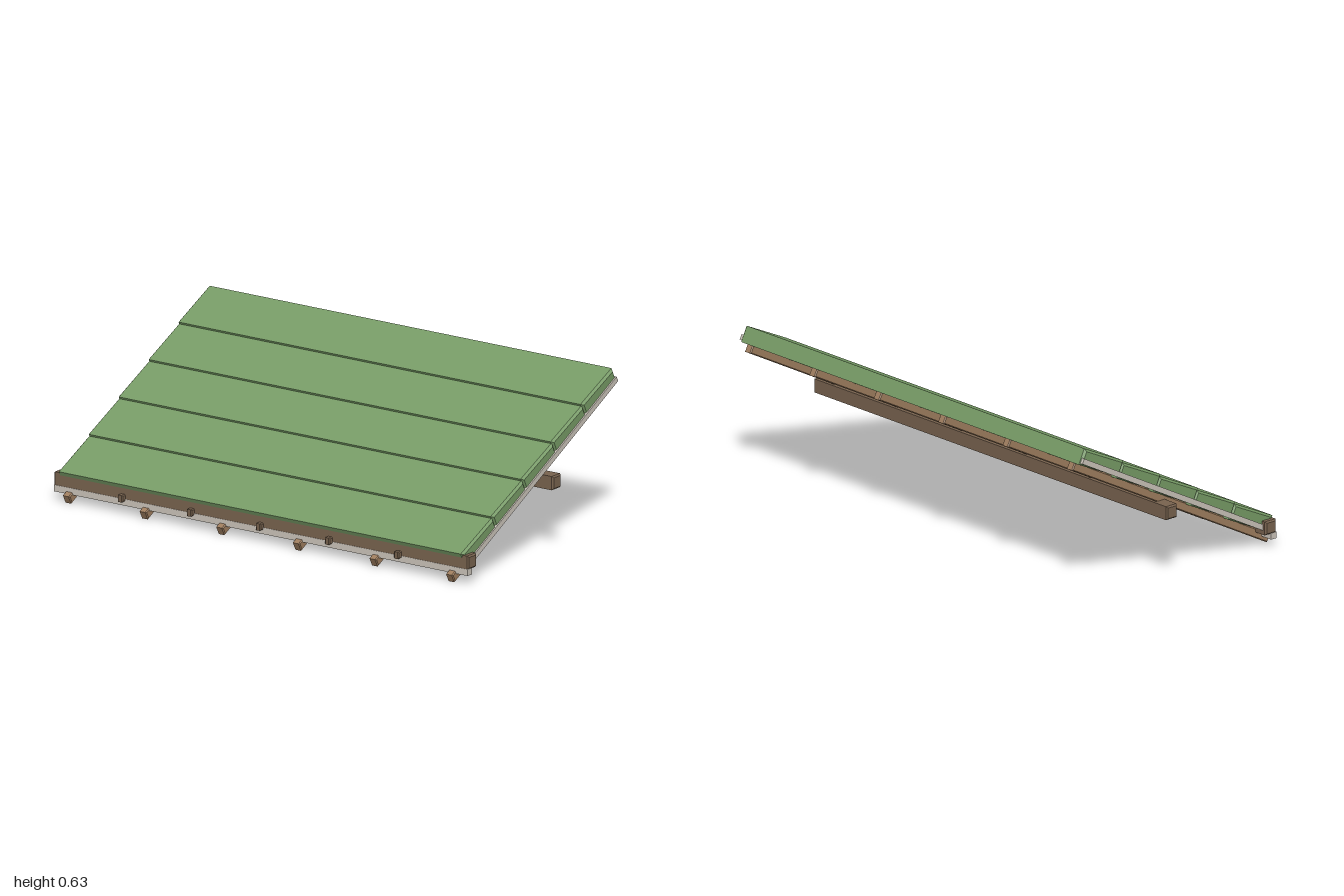
import * as THREE from 'three';

const material = (name, color) => {
  const m = new THREE.MeshStandardMaterial({ color });
  m.name = name;
  return m;
};

// Box centred on the origin with small flat chamfers on all edges
function chamferBox(w, h, d, c) {
  const x = w / 2 - c, y = h / 2 - c;
  const shape = new THREE.Shape([
    new THREE.Vector2(-x, -y), new THREE.Vector2(x, -y),
    new THREE.Vector2(x, y), new THREE.Vector2(-x, y),
  ]);
  const g = new THREE.ExtrudeGeometry(shape, {
    depth: d - 2 * c, bevelEnabled: true, bevelThickness: c, bevelSize: c, bevelSegments: 1,
  });
  return g.translate(0, 0, -d / 2 + c);
}

export function createModel() {
  const turf = material('turf green', 0x769a65);
  const tan = material('tan wood', 0x9e7d5e);
  const brown = material('brown wood', 0x77624e);
  const bark = material('pale bark', 0xc9c2b8);

  const model = new THREE.Group();
  model.name = 'turfRoofPanel';
  const slope = new THREE.Group();
  slope.name = 'slopedRoof';
  slope.rotation.z = Math.atan2(0.468, 0.884);
  model.add(slope);

  const add = (parent, name, geometry, mat, x, y, z, tilt = 0) => {
    const mesh = new THREE.Mesh(geometry, mat);
    mesh.name = name;
    mesh.position.set(x, y, z);
    mesh.rotation.z = tilt;
    parent.add(mesh);
    return mesh;
  };

  // Five turf courses, each dipping slightly at its upper end
  const step = 0.221;
  const slab = chamferBox(step + 0.004, 0.066, 1.926, 0.009);
  for (let i = 0; i < 5; i++) {
    add(slope, 'turfCourse' + (i + 1), slab, turf, -0.391 + step * (i + 0.5), 0.3035, 0, -0.04);
  }

  // Bark edging along both gable ends
  const edging = new THREE.BoxGeometry(1.095, 0.022, 0.02);
  for (const s of [1, -1]) {
    add(slope, s > 0 ? 'frontBarkEdge' : 'backBarkEdge', edging, bark, 0.165, 0.284, s * 0.959);
  }

  // Six rafters
  const rafter = chamferBox(1.155, 0.036, 0.034, 0.004);
  for (let i = 0; i < 6; i++) {
    add(slope, 'rafter' + (i + 1), rafter, tan, 0.1315, 0.254, -0.91 + i * 0.364);
  }

  // Level timbers: purlin, eave log, and the bark strip below the eave
  add(model, 'purlin', chamferBox(0.055, 0.055, 2, 0.006), brown, 0.061, 0.28, 0);
  add(model, 'eaveLog', chamferBox(0.056, 0.055, 1.97, 0.006), brown, -0.47, 0.085, 0);
  add(model, 'eaveBarkStrip', new THREE.BoxGeometry(0.027, 0.026, 1.966), bark, -0.486, 0.047, 0);

  // Pegs through the eave log
  const peg = chamferBox(0.095, 0.028, 0.024, 0.004);
  for (let i = -2; i <= 2; i++) {
    add(model, 'peg' + (i + 3), peg, brown, -0.47, 0.066, i * 0.328, 0.04);
  }
  return model;
}
